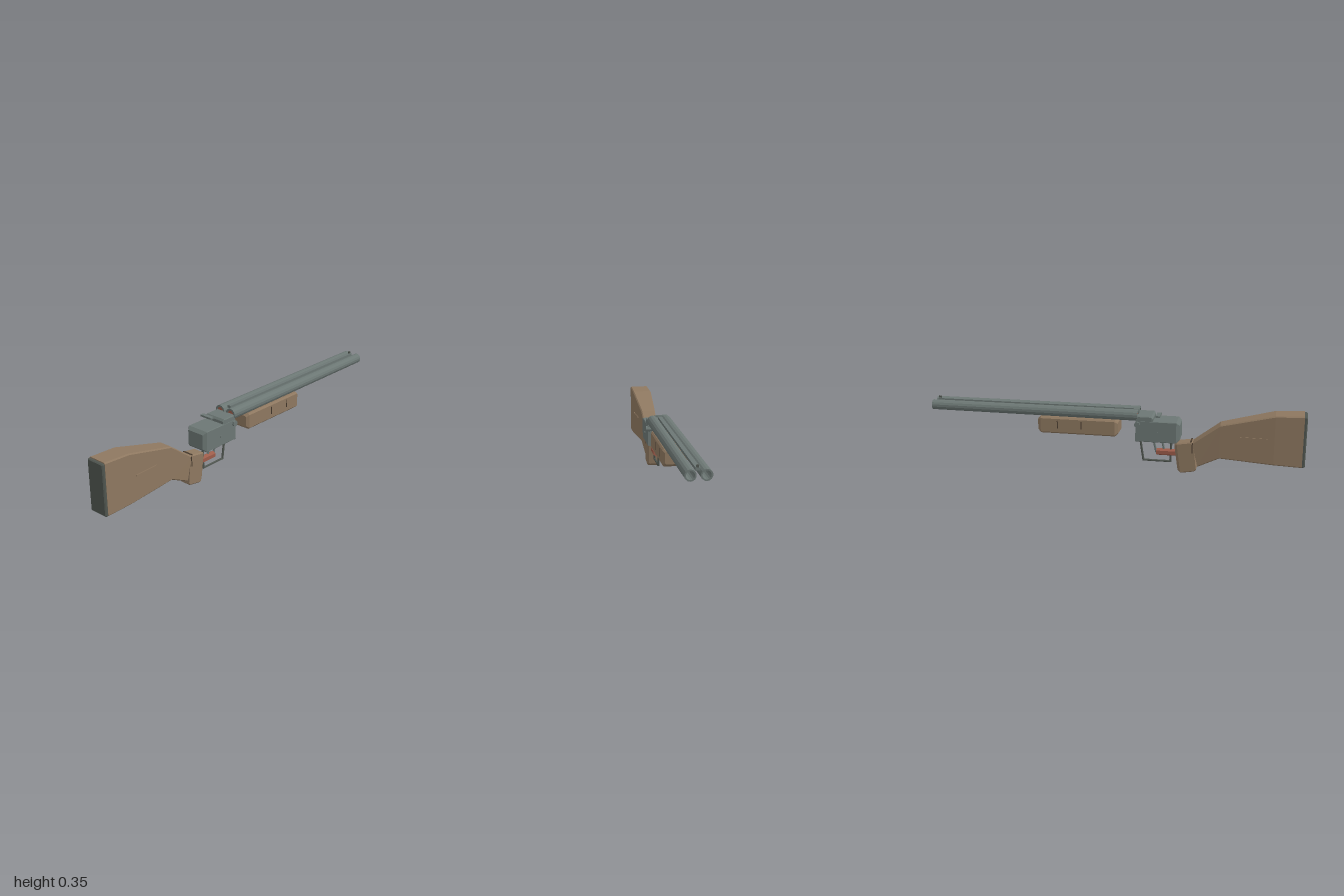
import * as THREE from 'three';

const mat = (name, color) => {
  const m = new THREE.MeshStandardMaterial({ color });
  m.name = name;
  return m;
};

// Facet a geometry so every face is flat
function flat(geo) {
  const g = geo.index ? geo.toNonIndexed() : geo;
  g.computeVertexNormals();
  return g;
}

// Loft of chamfered rectangles from back (+z) to front (-z).
// Each section: [zTop, yTop, zBottom, yBottom, halfWidth, chamfer]
function loft(sections) {
  const pos = [], idx = [], n = 8;
  for (const [zt, yt, zb, yb, w, c] of sections) {
    const corners = [
      [w, yb + c], [w, yt - c], [w - c, yt], [c - w, yt],
      [-w, yt - c], [-w, yb + c], [c - w, yb], [w - c, yb],
    ];
    for (const [x, y] of corners) pos.push(x, y, zb + (zt - zb) * (y - yb) / (yt - yb));
  }
  for (let s = 0; s < sections.length - 1; s++) {
    for (let i = 0; i < n; i++) {
      const a = s * n + i, b = s * n + (i + 1) % n;
      idx.push(a, a + n, b + n, a, b + n, b);
    }
  }
  const last = (sections.length - 1) * n;
  for (let i = 1; i < n - 1; i++) {
    idx.push(0, i, i + 1, last, last + i + 1, last + i);
  }
  const g = new THREE.BufferGeometry();
  g.setAttribute('position', new THREE.Float32BufferAttribute(pos, 3));
  g.setIndex(idx);
  return flat(g);
}

export function createModel() {
  const model = new THREE.Group();
  model.name = 'doubleBarrelGun';
  const metal = mat('gunmetal', 0x6c7774);
  const dark = mat('darkMetal', 0x505650);
  const wood = mat('walnut', 0x8e7860);
  const groove = mat('darkWood', 0x4a3d30);
  const copper = mat('copper', 0x9c5c4a);

  const add = (name, geo, material, x = 0, y = 0, z = 0) => {
    const m = new THREE.Mesh(geo, material);
    m.name = name;
    m.position.set(x, y, z);
    model.add(m);
    return m;
  };
  const box = (name, material, w, h, d, x, y, z) =>
    add(name, new THREE.BoxGeometry(w, h, d), material, x, y, z);
  // Straight rod between two points [z, y] on the centre plane
  const rod = (name, material, [z1, y1], [z2, y2], r) => {
    const a = new THREE.Vector3(0, y1, z1), b = new THREE.Vector3(0, y2, z2);
    const d = b.clone().sub(a);
    const m = add(name, flat(new THREE.CylinderGeometry(r, r, d.length() + r, 6)), material);
    m.position.copy(a).add(b).multiplyScalar(0.5);
    m.quaternion.setFromUnitVectors(new THREE.Vector3(0, 1, 0), d.normalize());
    return m;
  };

  // Shoulder stock and grip
  add('stock', loft([
    [0.985, 0.353, 0.985, 0.076, 0.053, 0.006],
    [0.84, 0.347, 0.84, 0.082, 0.055, 0.006],
    [0.56, 0.278, 0.56, 0.096, 0.041, 0.006],
    [0.416, 0.171, 0.448, 0.04, 0.033, 0.006],
  ]), wood);
  add('grip', loft([
    [0.422, 0.173, 0.44, 0.022, 0.034, 0.006],
    [0.412, 0.176, 0.43, 0.012, 0.034, 0.006],
    [0.335, 0.164, 0.358, 0, 0.034, 0.006],
    [0.322, 0.155, 0.343, 0.012, 0.027, 0.006],
  ]), wood);
  add('buttPlate', loft([
    [1, 0.344, 1, 0.082, 0.048, 0.004],
    [0.994, 0.348, 0.994, 0.078, 0.052, 0.004],
    [0.983, 0.348, 0.983, 0.078, 0.052, 0.004],
  ]), dark);
  box('gripBand', groove, 0.062, 0.008, 0.008, 0, 0.174, 0.41);

  // Receiver with a raised block in front
  add('receiver', loft([
    [0.353, 0.27, 0.353, 0.188, 0.05, 0.003],
    [0.335, 0.285, 0.335, 0.172, 0.063, 0.003],
    [0.12, 0.285, 0.12, 0.172, 0.063, 0.003],
  ]), metal);
  add('receiverStep', loft([
    [0.212, 0.3, 0.212, 0.27, 0.06, 0.004],
    [0.203, 0.31, 0.203, 0.27, 0.062, 0.004],
    [0.122, 0.31, 0.122, 0.27, 0.062, 0.004],
  ]), metal);
  box('topLever', metal, 0.072, 0.01, 0.022, -0.027, 0.312, 0.238);
  const pin = add('hingePin', flat(new THREE.CylinderGeometry(0.016, 0.016, 0.146, 8)), metal, 0, 0.266, 0.13);
  pin.rotation.z = Math.PI / 2;

  // Hollow barrels, slightly tapered to the muzzle, with shell heads in the breech
  const profile = [[0.02, -1], [0.027, -1], [0.03, 0.13], [0.02, 0.13], [0.02, -1]]
    .map(([r, z]) => new THREE.Vector2(r, z));
  for (const s of [-1, 1]) {
    const side = s > 0 ? 'left' : 'right';
    const barrel = add(side + 'Barrel', flat(new THREE.LatheGeometry(profile, 14)), metal, s * 0.036, 0.309, 0);
    barrel.rotation.x = Math.PI / 2;
    const shell = add(side + 'ShellHead', flat(new THREE.CylinderGeometry(0.0205, 0.0205, 0.05, 14)), copper, s * 0.036, 0.309, 0.1);
    shell.rotation.x = Math.PI / 2;

    // Side details
    for (const z of [-0.17, -0.3]) {
      box(side + 'ForendSlot', groove, 0.004, 0.042, 0.005, s * 0.0625, 0.241, z);
    }
    const screw = add(side + 'Screw', flat(new THREE.CylinderGeometry(0.007, 0.007, 0.006, 8)), metal, s * 0.064, 0.225, 0.232);
    screw.rotation.z = Math.PI / 2;
    const mark = box(side + 'StockMark', wood, 0.006, 0.007, 0.14, s * 0.05, 0.22, 0.735);
    mark.rotation.y = s * 0.05;
    box(side + 'GripSlot', groove, 0.004, 0.055, 0.005, s * 0.034, 0.143, 0.418);
  }
  box('topRib', metal, 0.022, 0.014, 1.08, 0, 0.331, -0.44);
  box('lowerRib', metal, 0.022, 0.014, 0.6, 0, 0.284, -0.16);
  box('frontSight', dark, 0.01, 0.012, 0.014, 0, 0.343, -0.972);

  // Wooden forend under the barrels
  add('forend', loft([
    [0.026, 0.266, 0.026, 0.204, 0.052, 0.006],
    [0.01, 0.279, 0.01, 0.19, 0.0625, 0.008],
    [-0.392, 0.279, -0.392, 0.19, 0.0625, 0.008],
    [-0.408, 0.266, -0.408, 0.204, 0.052, 0.006],
  ]), wood);

  // Trigger guard, triggers and the round piece ahead of the grip
  const guard = [[0.303, 0.15], [0.3, 0.052], [0.155, 0.052], [0.136, 0.178]];
  for (let i = 0; i < 3; i++) rod('triggerGuard', dark, guard[i], guard[i + 1], 0.006);
  rod('rearTrigger', metal, [0.253, 0.175], [0.265, 0.118], 0.006);
  rod('frontTrigger', metal, [0.207, 0.175], [0.224, 0.1], 0.006);
  rod('copperPin', copper, [0.335, 0.103], [0.235, 0.103], 0.019);

  return model;
}
